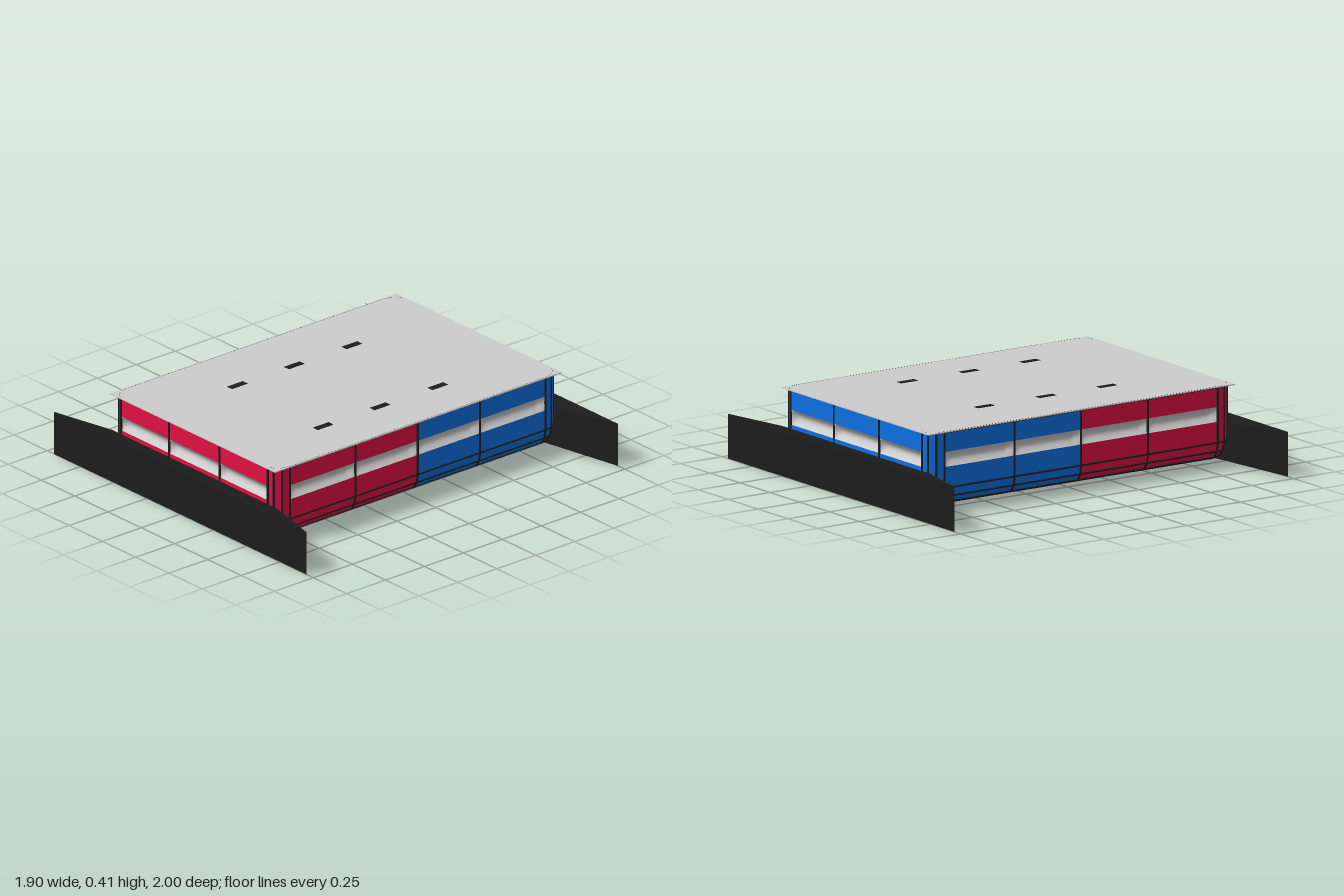
import * as THREE from 'three';
import { mergeGeometries } from 'three/addons/utils/BufferGeometryUtils.js';

const mat = (color) => new THREE.MeshStandardMaterial({ color, side: THREE.DoubleSide });
const RED = mat(0xe00f44), BLUE = mat(0x0d6fe0), BLACK = mat(0x1c1c1c), GREY = mat(0xcccccc);

// Tub: straight walls up to CX / CZ, rounded by RX / RZ
const CX = 0.55, CZ = 0.82, RX = 0.063, RZ = 0.088;
const WIN_TOP = 0.31, WIN_LOW = 0.235;
// Levels from rim to floor: [height, how far out of the rounding]
const LEVELS = [[0.408, 1], [WIN_TOP, 1], [WIN_LOW, 1], [0.13, 1], [0.085, 0.866], [0.052, 0.5], [0.04, 0]];

// Columns around the plan, from +x towards +z
function makeColumns() {
  const cols = [];
  const add = (cx, cz, deg) => {
    const a = THREE.MathUtils.degToRad(deg);
    cols.push({ cx, cz, ax: Math.cos(a), az: Math.sin(a), deg: deg % 360 });
  };
  const corner = (sx, sz, from) => {
    for (let i = 0; i <= 3; i++) add(sx * CX, sz * CZ, from + i * 30);
  };
  [-0.4, 0, 0.4].forEach((z) => add(CX, z, 0));
  corner(1, 1, 0);
  [0.19, -0.19].forEach((x) => add(x, CZ, 90));
  corner(-1, 1, 90);
  [0.4, 0, -0.4].forEach((z) => add(-CX, z, 180));
  corner(-1, -1, 180);
  [-0.19, 0.19].forEach((x) => add(x, -CZ, 270));
  corner(1, -1, 270);
  return cols;
}

const at = (c, [y, k]) => new THREE.Vector3(c.cx + c.ax * RX * k, y, c.cz + c.az * RZ * k);

function quadsGeometry(quads) {
  const pos = [];
  for (const [a, b, c, d] of quads) for (const p of [a, b, c, a, c, d]) pos.push(p.x, p.y, p.z);
  const geo = new THREE.BufferGeometry();
  geo.setAttribute('position', new THREE.Float32BufferAttribute(pos, 3));
  geo.computeVertexNormals();
  return geo;
}

function rib(a, b, r = 0.006) {
  const dir = b.clone().sub(a);
  const geo = new THREE.CylinderGeometry(r, r, dir.length(), 6);
  geo.applyQuaternion(new THREE.Quaternion().setFromUnitVectors(new THREE.Vector3(0, 1, 0), dir.normalize()));
  return geo.translate((a.x + b.x) / 2, (a.y + b.y) / 2, (a.z + b.z) / 2);
}

// Shallow scooped window between two neighbouring columns
function windowGeometry(a, b, deg) {
  const w = a.distanceTo(b), h = WIN_TOP - WIN_LOW;
  const geo = new THREE.PlaneGeometry(w, h, 16, 8);
  const p = geo.attributes.position;
  for (let i = 0; i < p.count; i++) {
    const end = Math.min(1, (w / 2 - Math.abs(p.getX(i))) / 0.02);
    p.setZ(i, -0.025 * end * Math.cos((Math.PI * p.getY(i)) / h));
  }
  geo.computeVertexNormals();
  geo.rotateY(THREE.MathUtils.degToRad(90 - deg));
  return geo.translate((a.x + b.x) / 2, (WIN_TOP + WIN_LOW) / 2, (a.z + b.z) / 2);
}

// Flared bumper for the +z end
function bumperGeometry() {
  const v = (x, y, z) => new THREE.Vector3(x, y, z);
  const outer = [v(-0.95, 0, 1), v(0.95, 0, 1), v(0.95, 0.225, 1), v(-0.95, 0.225, 1)];
  const inner = [v(-0.52, 0.035, 0.85), v(0.52, 0.035, 0.85), v(0.62, 0.215, 0.91), v(-0.62, 0.215, 0.91)];
  const quads = [outer, [...inner].reverse()];
  for (let i = 0; i < 4; i++) {
    const j = (i + 1) % 4;
    quads.push([outer[j], outer[i], inner[i], inner[j]]);
  }
  return quadsGeometry(quads);
}

// Pad with chamfered corners under the floor
function padGeometry() {
  const w = 0.23, d = 0.19, c = 0.07;
  const shape = new THREE.Shape([[w, -d + c], [w, d - c], [w - c, d], [c - w, d], [-w, d - c], [-w, c - d], [c - w, -d], [w - c, -d]]
    .map(([x, y]) => new THREE.Vector2(x, y)));
  return new THREE.ExtrudeGeometry(shape, { depth: 0.015, bevelEnabled: false }).rotateX(-Math.PI / 2);
}

export function createModel() {
  const model = new THREE.Group();
  const add = (name, geo, material, x = 0, y = 0, z = 0) => {
    const mesh = new THREE.Mesh(geo, material);
    mesh.name = name;
    mesh.position.set(x, y, z);
    model.add(mesh);
    return mesh;
  };

  // Wall panels, windows and ribs
  const cols = makeColumns();
  const front = [], back = [], windows = [], ribs = [];
  cols.forEach((c, i) => {
    const n = cols[(i + 1) % cols.length];
    const flat = c.deg === n.deg;
    const panels = c.cz + n.cz > 0 ? front : back;
    for (let l = 0; l < LEVELS.length; l++) {
      if (l !== 1 && l !== 2) ribs.push(rib(at(c, LEVELS[l]), at(n, LEVELS[l]), 0.005));
      if (l === LEVELS.length - 1) break;
      const [up, low] = [LEVELS[l], LEVELS[l + 1]];
      ribs.push(rib(at(c, up), at(c, low)));
      if (flat && l === 1) windows.push(windowGeometry(at(c, up), at(n, up), c.deg));
      else panels.push([at(c, low), at(c, up), at(n, up), at(n, low)]);
    }
  });

  // Floor halves and floor ribs
  const f = (x, z) => new THREE.Vector3(x, 0.04, z);
  front.push([f(-CX, 0), f(CX, 0), f(CX, CZ), f(-CX, CZ)]);
  back.push([f(-CX, -CZ), f(CX, -CZ), f(CX, 0), f(-CX, 0)]);
  for (const x of [-0.19, 0.19]) ribs.push(rib(f(x, -CZ), f(x, CZ)));
  for (const z of [-0.4, 0, 0.4]) ribs.push(rib(f(-CX, z), f(CX, z)));

  add('frontShell', quadsGeometry(front), RED);
  add('backShell', quadsGeometry(back), BLUE);
  add('windows', mergeGeometries(windows), GREY);
  // Drop degenerate floor-corner ribs
  add('ribs', mergeGeometries(ribs.filter((g) => g.parameters.height > 1e-4)), BLACK);

  // Top plate with its six slots
  add('topPlate', new THREE.BoxGeometry(1.24, 0.005, 1.84), GREY, 0, 0.41, 0);
  for (const x of [-0.29, 0.355])
    for (const z of [-0.35, 0.02, 0.385])
      add('slot', new THREE.BoxGeometry(0.036, 0.004, 0.1), BLACK, x, 0.412, z);

  // Bumpers and underside pads at both ends
  for (const turn of [0, Math.PI]) {
    add('bumper', bumperGeometry(), BLACK).rotation.y = turn;
    add('floorPad', padGeometry(), BLACK, 0, 0.03, turn ? -0.67 : 0.67);
  }
  add('floorDisc', new THREE.CylinderGeometry(0.085, 0.085, 0.015, 24), BLACK, 0, 0.037, 0);
  return model;
}
